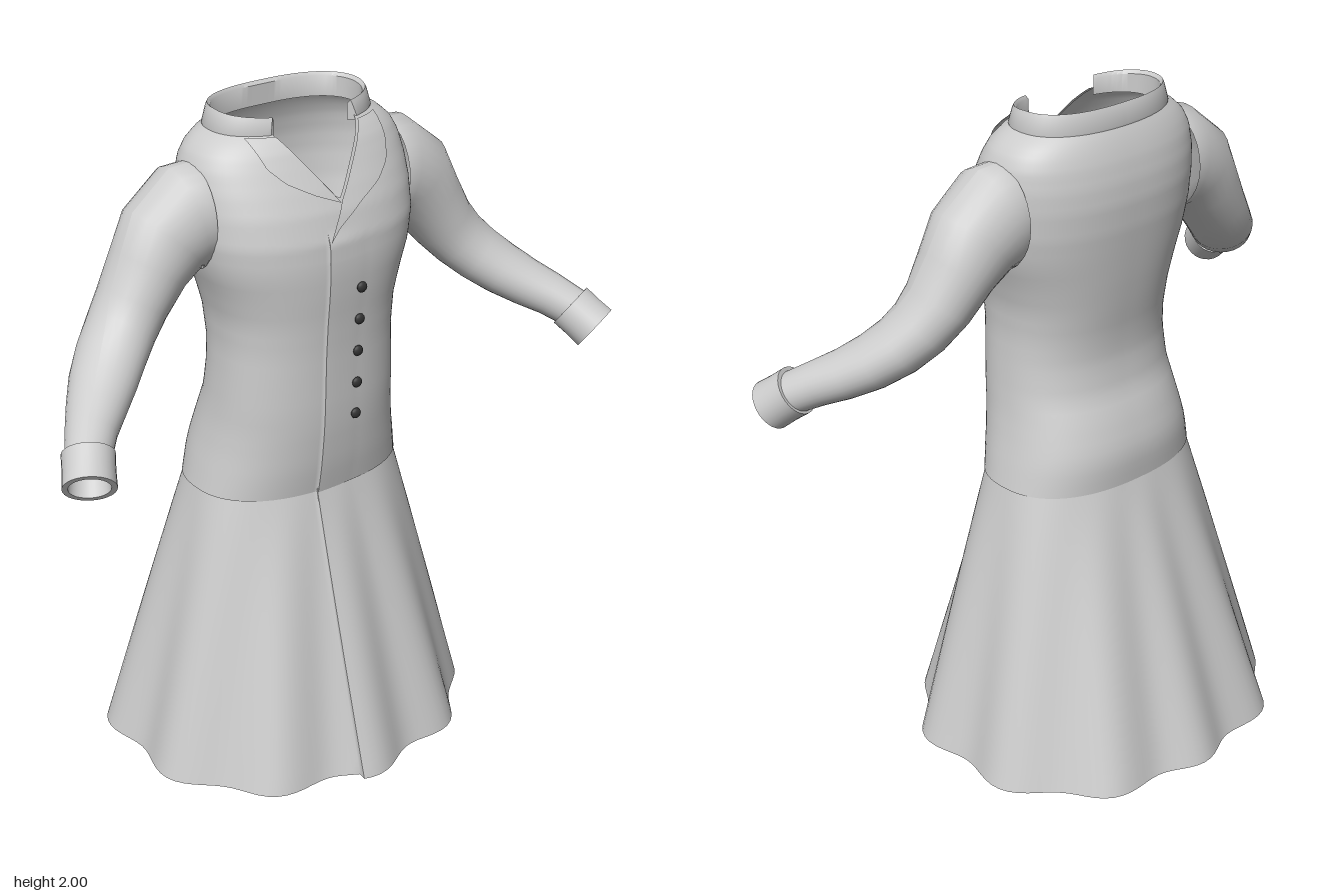
import * as THREE from 'three';
import { toCreasedNormals } from 'three/addons/utils/BufferGeometryUtils.js';

const V = (x, y, z) => new THREE.Vector3(x, y, z);

// Skin a list of point rows into one smooth surface.
function loft(rows) {
  const n = rows[0].length, pos = [], idx = [];
  rows.forEach(r => r.forEach(p => pos.push(p.x, p.y, p.z)));
  for (let i = 0; i < rows.length - 1; i++)
    for (let j = 0; j < n - 1; j++) {
      const a = i * n + j, b = a + n;
      idx.push(a, a + 1, b + 1, a, b + 1, b);
    }
  const g = new THREE.BufferGeometry();
  g.setAttribute('position', new THREE.Float32BufferAttribute(pos, 3));
  g.setIndex(idx);
  g.computeVertexNormals();
  return g;
}

// Piecewise-linear lookup: rows of [key, ...values], ascending keys.
function lookup(table, k) {
  let i = 0;
  while (i < table.length - 2 && k > table[i + 1][0]) i++;
  const a = table[i], b = table[i + 1];
  const t = THREE.MathUtils.clamp((k - a[0]) / (b[0] - a[0]), 0, 1);
  return a.map((v, j) => v + (b[j] - v) * t);
}

// Bodice sections: height, half width, front z, back z.
const BODICE = [
  [0.87, 0.335, 0.256, -0.202], [0.95, 0.318, 0.27, -0.207], [1.0, 0.306, 0.276, -0.2],
  [1.08, 0.291, 0.284, -0.175], [1.15, 0.283, 0.288, -0.145], [1.25, 0.276, 0.29, -0.131],
  [1.33, 0.273, 0.292, -0.137], [1.42, 0.28, 0.297, -0.152], [1.5, 0.301, 0.304, -0.164],
  [1.58, 0.33, 0.308, -0.174], [1.66, 0.345, 0.303, -0.183], [1.74, 0.348, 0.28, -0.186],
  [1.8, 0.346, 0.252, -0.181], [1.86, 0.336, 0.22, -0.168], [1.9, 0.315, 0.198, -0.153],
  [1.93, 0.28, 0.175, -0.138], [1.945, 0.25, 0.16, -0.128],
];
const SKIRT = [[0, 0.545, 0.48, -0.48], [0.88, 0.328, 0.25, -0.197]];
const POWER = 2.35, NECK = 1.945, SEAM_X = -0.055, COLS = 120;

function section(table, y) {
  const [, w, f, b] = lookup(table, y);
  return { w, d: (f - b) / 2, zc: (f + b) / 2 };
}

// Point on the coat at angle phi from the front (towards +x).
function coatPoint(table, y, phi, grow = 0, ripple = 0) {
  const { w, d, zc } = section(table, y), s = Math.sin(phi), c = Math.cos(phi);
  const r = Math.pow(Math.pow(Math.abs(s) / w, POWER) + Math.pow(Math.abs(c) / d, POWER), -1 / POWER)
    + grow + ripple * Math.cos(10 * phi);
  return V(r * s, y, zc + r * c);
}

// Front surface height z at a given x and y.
function frontZ(x, y) {
  const { w, d, zc } = section(BODICE, y);
  return zc + d * Math.pow(Math.max(0, 1 - Math.pow(Math.abs(x) / w, POWER)), 1 / POWER);
}

// A row around the coat, starting and ending at the overlapped front seam.
function coatRow(table, heightAt, rippleAt, lapAt) {
  const row = [];
  for (let j = 0; j <= COLS + 1; j++) {
    const u = Math.min(j, COLS) / COLS;
    let y = heightAt(0), phi = 0;
    for (let k = 0; k < 2; k++) {
      phi = Math.asin(SEAM_X / section(table, y).d) + u * Math.PI * 2;
      y = heightAt(phi);
    }
    const lap = lapAt(y) * (j > COLS ? 1 : Math.max(0, 1 - u * 12));
    row.push(coatPoint(table, y, phi, lap, rippleAt(y)));
  }
  return row;
}

// Neckline: level round the back, dipping to a V at the front.
function neckHeight(phi) {
  if (Math.cos(phi) <= 0) return NECK;
  let y = 1.85;
  for (let k = 0; k < 30; k++) {
    const x = Math.abs(coatPoint(BODICE, y, phi).x);
    y += 0.4 * (Math.min(NECK, 1.765 + 1.3 * x) - y);
  }
  return y > NECK - 0.003 ? NECK : y;
}

// Oval ring round a centre, square to a direction.
function ring(c, dir, up, side, n = 28) {
  const b = V(dir.z, 0, -dir.x).normalize(), a = new THREE.Vector3().crossVectors(dir, b).normalize();
  return Array.from({ length: n + 1 }, (_, i) => {
    const t = (i / n) * Math.PI * 2;
    return c.clone().addScaledVector(a, up * Math.cos(t)).addScaledVector(b, side * Math.sin(t));
  });
}

function sleeveGeometry() {
  // x, y, z, radius up, radius sideways
  const stations = [
    [0.325, 1.72, 0.03, 0.15, 0.132], [0.36, 1.715, 0.03, 0.155, 0.134], [0.42, 1.672, 0.032, 0.137, 0.127],
    [0.475, 1.6, 0.038, 0.112, 0.117], [0.535, 1.513, 0.048, 0.097, 0.107], [0.585, 1.452, 0.068, 0.089, 0.102],
    [0.635, 1.402, 0.1, 0.083, 0.1], [0.69, 1.355, 0.148, 0.077, 0.094], [0.745, 1.315, 0.205, 0.07, 0.082],
    [0.795, 1.283, 0.262, 0.064, 0.07], [0.842, 1.245, 0.325, 0.06, 0.062],
  ];
  const pts = stations.map(s => V(s[0], s[1], s[2]));
  return loft(stations.map((s, i) => {
    const dir = pts[Math.min(i + 1, pts.length - 1)].clone().sub(pts[Math.max(i - 1, 0)]).normalize();
    if (i === 0) dir.set(1, 0, 0);
    if (i === 1) dir.set(0.97, -0.22, 0).normalize();
    return ring(pts[i], dir, s[3], s[4]);
  }));
}

function cuffGeometry() {
  const start = V(0.833, 1.255, 0.312), end = V(0.872, 1.197, 0.383);
  const dir = end.clone().sub(start).normalize();
  const profile = [[0, 0.056], [0, 0.072], [0.5, 0.071], [1, 0.073], [1, 0.057], [0.5, 0.053], [0, 0.05]];
  return toCreasedNormals(loft(profile.map(([t, r]) => ring(start.clone().lerp(end, t), dir, r, r))), 0.7);
}

function collarGeometry() {
  const profile = [[1.93, 0.002], [1.945, 0.006], [1.99, -0.006], [2.0, -0.011], [1.99, -0.02], [1.93, -0.02]];
  const n = 72, gap = 0.82;
  const rows = profile.map(([y, grow]) => Array.from({ length: n + 1 }, (_, i) => {
    const phi = gap + (i / n) * (Math.PI * 2 - 2 * gap);
    const p = coatPoint(BODICE, NECK, phi, grow);
    p.y = y - (y > 1.95 ? 0.02 * Math.max(0, Math.cos(phi)) : 0);
    return p;
  }));
  // Fold both ends shut onto the middle of the band.
  rows.push(rows[0].map(p => p.clone()));
  for (const e of [0, n]) {
    const mid = rows[0][e].clone().add(rows[3][e]).multiplyScalar(0.5);
    rows.forEach(r => (e ? r.push(mid.clone()) : r.unshift(mid.clone())));
    if (e === 0) rows.forEach(r => r); 
  }
  return toCreasedNormals(loft(rows), 0.7);
}

// Lapel laid just over the chest between two edges, each given as [y, x].
function lapelGeometry(inner, outer, lift) {
  const rows = [], n = 24, y0 = outer[0][0];
  for (let i = 0; i <= n; i++) {
    const y = y0 + (1.94 - y0) * (i / n);
    const a = lookup(inner, y)[1], b = lookup(outer, y)[1];
    rows.push(Array.from({ length: 9 }, (_, j) => {
      const x = a + (b - a) * (j / 8);
      return V(x, y, frontZ(x, y) + lift);
    }));
  }
  return loft(rows);
}

export function createModel() {
  const cloth = new THREE.MeshStandardMaterial({ color: 0xcccccc, side: THREE.DoubleSide });
  cloth.name = 'grey cloth';
  const dark = new THREE.MeshStandardMaterial({ color: 0x333333 });
  dark.name = 'dark button';
  const coat = new THREE.Group();
  coat.name = 'coat';
  const add = (name, geometry, material = cloth) => {
    const m = new THREE.Mesh(geometry, material);
    m.name = name;
    coat.add(m);
    return m;
  };

  // Bodice: level rows to the chest, then rows spreading up to the neckline.
  const rows = [], none = () => 0;
  const lap = y => 0.008 * THREE.MathUtils.clamp((1.69 - y) / 0.04, 0, 1);
  for (let i = 0; i <= 24; i++) rows.push(coatRow(BODICE, () => 0.87 + (0.73 * i) / 24, none, lap));
  for (let i = 1; i <= 22; i++)
    rows.push(coatRow(BODICE, phi => 1.6 + (neckHeight(phi) - 1.6) * (i / 22), none, lap));
  add('bodice', loft(rows));

  // Flared skirt with folds growing towards the hem.
  const skirt = [];
  for (let i = 0; i <= 16; i++)
    skirt.push(coatRow(SKIRT, () => (0.88 * i) / 16, y => 0.021 * (1 - y / 0.88), y => 0.026 - 0.018 * (y / 0.88)));
  add('skirt', loft(skirt));

  add('collar', collarGeometry());
  add('leftLapel', lapelGeometry(
    [[1.665, -0.056], [1.765, 0], [1.94, 0.135]],
    [[1.665, -0.055], [1.7, -0.02], [1.755, 0.065], [1.79, 0.14], [1.83, 0.192], [1.88, 0.212], [1.94, 0.215]], 0.012));
  add('rightLapel', lapelGeometry(
    [[1.76, 0], [1.94, -0.135]],
    [[1.76, -0.001], [1.79, -0.075], [1.83, -0.15], [1.87, -0.19], [1.94, -0.213]], 0.008));

  // Sleeves and cuffs, mirrored.
  const sleeve = sleeveGeometry(), cuff = cuffGeometry();
  for (const [side, s] of [['left', 1], ['right', -1]]) {
    add(side + 'Sleeve', sleeve).scale.x = s;
    add(side + 'Cuff', cuff).scale.x = s;
  }

  // Row of buttons.
  const button = new THREE.SphereGeometry(0.016, 14, 10);
  for (let i = 0; i < 5; i++) {
    const y = 1.11 + i * 0.1, b = add('button', button, dark);
    b.position.set(0.05, y, frontZ(0.05, y) + 0.008);
    b.scale.z = 0.6;
  }
  return coat;
}
